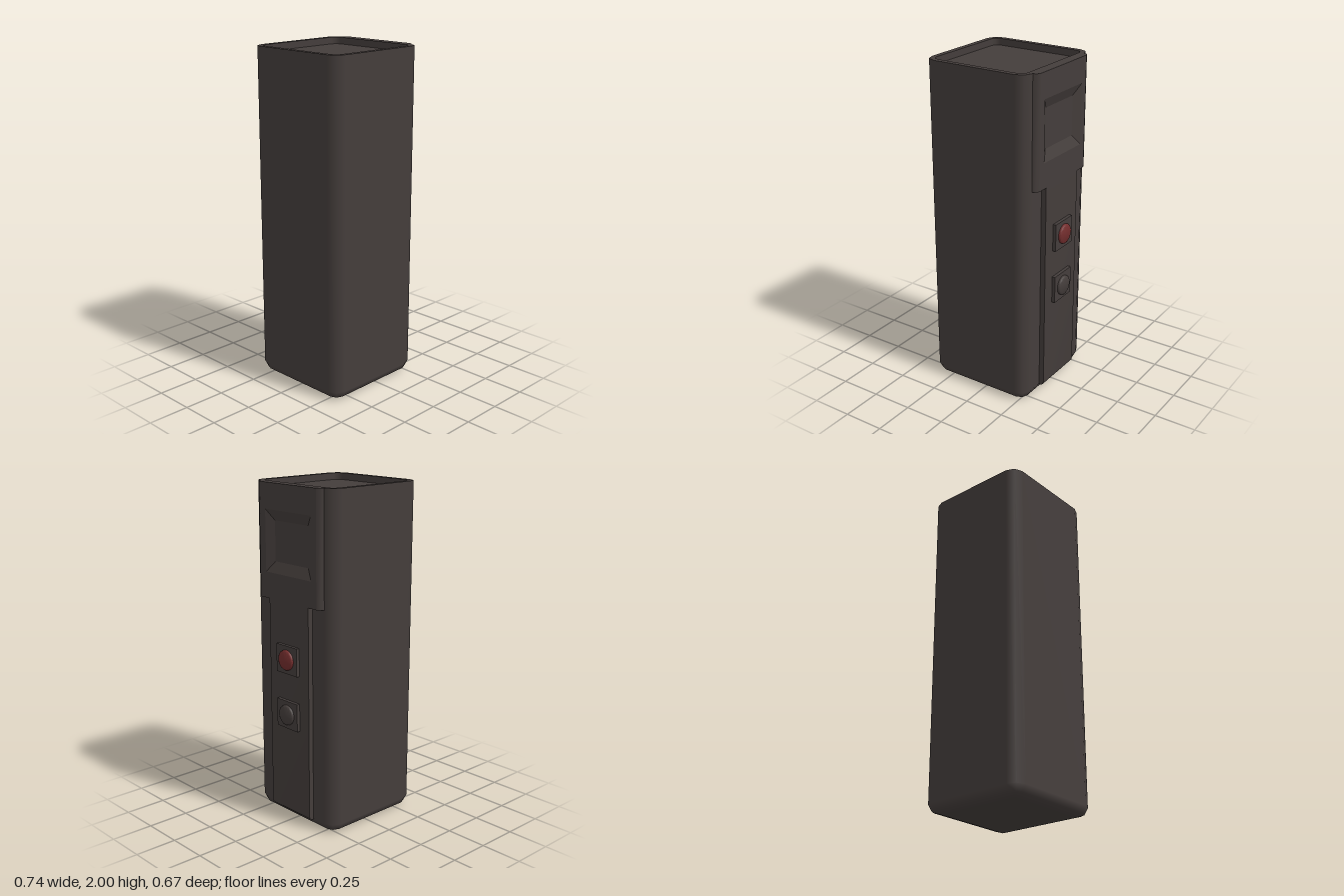
import * as THREE from 'three';
import { toCreasedNormals } from 'three/addons/utils/BufferGeometryUtils.js';

const V = (x, y, z) => new THREE.Vector3(x, y, z);

// Rounded-square ring: inset from the outer wall, with normals mixed from radial and vertical parts
function ring({ inset = 0, y, out = 0, up = 0, point = false }) {
  const cx = -0.035, half = 0.334, radius = 0.07, r = Math.max(radius - inset, 0);
  const core = half - Math.max(radius, inset), pos = [], nor = [];
  for (let q = 0; q < 4; q++) {
    const mid = (q + 0.5) * Math.PI / 2;
    for (let k = 0; k <= 2; k++) {
      const a = (q + k / 2) * Math.PI / 2;
      const sx = Math.sign(Math.cos(mid)), sz = Math.sign(Math.sin(mid));
      if (point) pos.push(cx, y, 0);
      else pos.push(cx + sx * core + r * Math.cos(a), y, sz * core + r * Math.sin(a));
      nor.push(out * Math.cos(a), up, out * Math.sin(a));
    }
  }
  return { pos, nor };
}

// Skin between consecutive rings
function loft(specs) {
  const pos = [], nor = [], idx = [], n = 12;
  specs.map(ring).forEach((r) => { pos.push(...r.pos); nor.push(...r.nor); });
  for (let j = 0; j < specs.length - 1; j++) {
    for (let k = 0; k < n; k++) {
      const a = j * n + k, b = j * n + (k + 1) % n, c = b + n, d = a + n;
      idx.push(a, d, c, a, c, b);
    }
  }
  const g = new THREE.BufferGeometry();
  g.setAttribute('position', new THREE.Float32BufferAttribute(pos, 3));
  g.setAttribute('normal', new THREE.Float32BufferAttribute(nor, 3));
  g.setIndex(idx);
  return g;
}

// Flat-shaded faces from a list of four-corner loops
function quads(list) {
  const pts = list.flatMap(([a, b, c, d]) => [a, b, c, a, c, d]);
  const g = new THREE.BufferGeometry().setFromPoints(pts);
  g.computeVertexNormals();
  return g;
}

export function createModel() {
  const model = new THREE.Group();
  model.name = 'handheldCase';
  const casing = new THREE.MeshStandardMaterial({ name: 'dark warm grey', color: 0x443d3b });
  const red = new THREE.MeshStandardMaterial({ name: 'dull red', color: 0x722d2d });
  const add = (name, geometry, material = casing) => {
    const m = new THREE.Mesh(geometry, material);
    m.name = name;
    model.add(m);
    return m;
  };

  // Body: flat base, rounded lower edge, walls, rim and sunken lid
  const h = Math.SQRT1_2, lid = 1.96, rim = 0.033;
  add('body', loft([
    { point: true, y: 0, up: -1 },
    { inset: 0.07, y: 0, up: -1 },
    { inset: 0.07 * (1 - h), y: 0.055 * (1 - h), out: h, up: -h },
    { y: 0.055, out: 1 },
    { y: 2, out: 1 },
  ]));
  add('rim', loft([{ y: 2, up: 1 }, { inset: rim, y: 2, up: 1 }]));
  add('rimInnerWall', loft([{ inset: rim, y: 2, out: -1 }, { inset: rim, y: lid, out: -1 }]));
  add('lid', loft([{ inset: rim, y: lid, up: 1 }, { point: true, y: lid, up: 1 }]));

  // Upper side panel: bevelled long edges and flat ends
  const y0 = 1.337, y1 = 2;
  const profile = [[0.298, 0.265], [0.32, 0.257], [0.33, 0.235]];
  const bevels = [], ends = [];
  for (let i = 0; i < 2; i++) {
    const [[xa, za], [xb, zb]] = [profile[i], profile[i + 1]];
    for (const s of [1, -1]) {
      const f = [V(xa, y0, s * za), V(xb, y0, s * zb), V(xb, y1, s * zb), V(xa, y1, s * za)];
      bevels.push(s > 0 ? f : f.reverse());
    }
    const end = (y) => [V(xa, y, za), V(xb, y, zb), V(xb, y, -zb), V(xa, y, -za)];
    ends.push(end(y1), end(y0).reverse());
  }
  add('upperPanelBevels', toCreasedNormals(quads(bevels), 0.9));
  add('upperPanelEnds', quads(ends));

  // Upper panel face with its sloping recess
  const loop = (x, z, lo, hi) => [V(x, lo, z), V(x, lo, -z), V(x, hi, -z), V(x, hi, z)];
  const face = loop(0.33, 0.235, y0, y1);
  const opening = loop(0.33, 0.193, 1.49, 1.85);
  const floor = loop(0.303, 0.14, 1.553, 1.787);
  const band = (a, b) => a.map((p, i) => [p, a[(i + 1) % 4], b[(i + 1) % 4], b[i]]);
  add('upperPanelFace', quads(band(face, opening)));
  add('recess', quads([...band(opening, floor), floor]));

  // Lower strip with a rounded bottom end
  const side = new THREE.Shape();
  side.moveTo(0.29, 0.05);
  side.lineTo(0.305, 0.05);
  side.quadraticCurveTo(0.33, 0.05, 0.33, 0.078);
  side.lineTo(0.33, y0);
  side.lineTo(0.29, y0);
  side.closePath();
  const strip = new THREE.ExtrudeGeometry(side, { depth: 0.334, bevelEnabled: false, curveSegments: 3 });
  strip.translate(0, 0, -0.167);
  add('lowerStrip', toCreasedNormals(strip, 0.7));

  // Push buttons on square plates
  const cap = [[0.06, 0], [0.06, 0.007], [0.057, 0.013], [0.05, 0.017], [0, 0.017]]
    .map(([r, y]) => new THREE.Vector2(r, y));
  for (const [name, y, material] of [['upperButton', 1.005, red], ['lowerButton', 0.672, casing]]) {
    add(name + 'Plate', new THREE.BoxGeometry(0.03, 0.167, 0.176)).position.set(0.335, y, 0);
    const button = add(name, toCreasedNormals(new THREE.LatheGeometry(cap, 24), 0.6), material);
    button.rotation.z = -Math.PI / 2;
    button.position.set(0.35, y, 0);
  }
  return model;
}
